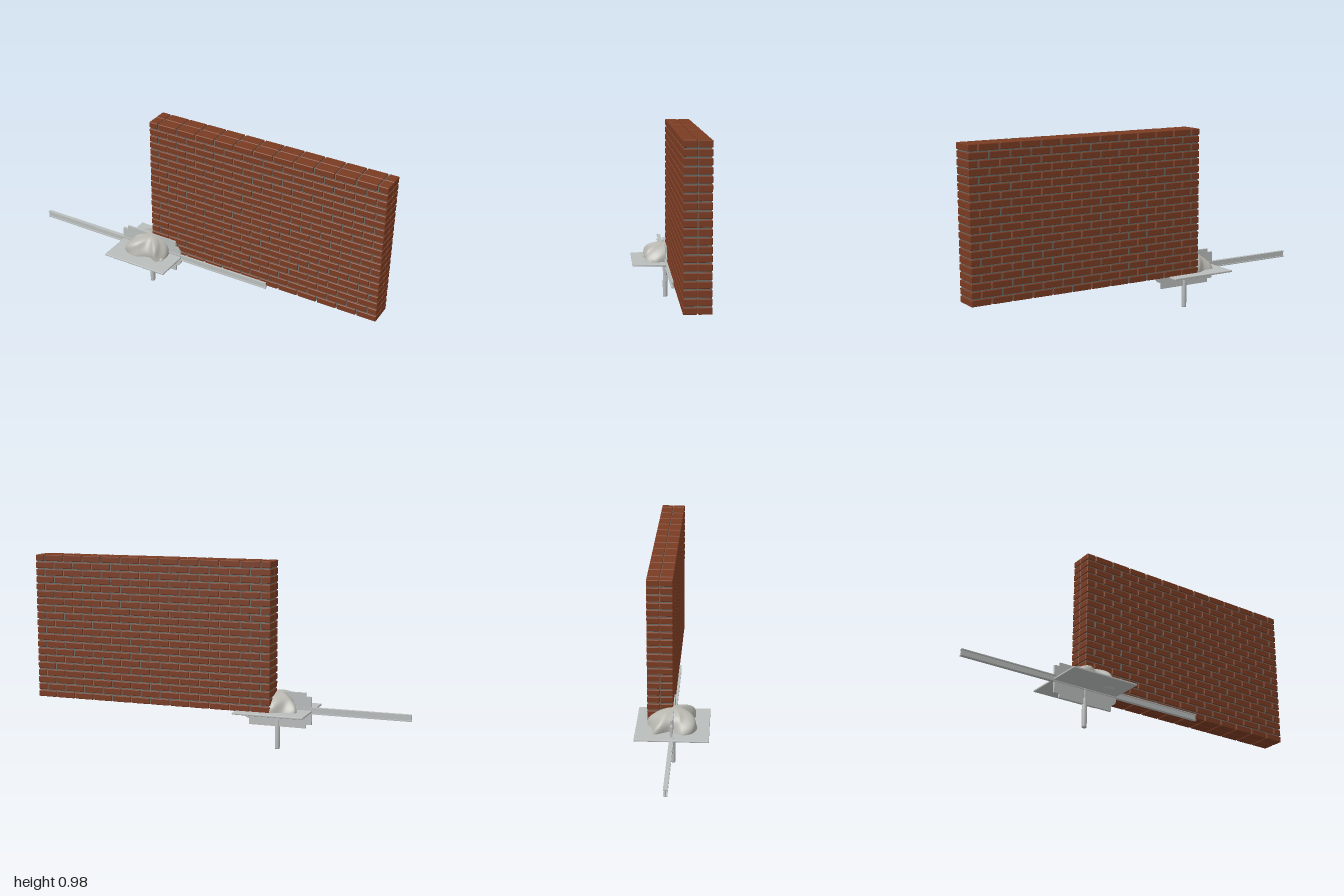
import * as THREE from 'three';
import { mergeGeometries } from 'three/addons/utils/BufferGeometryUtils.js';
import { RoundedBoxGeometry } from 'three/addons/geometries/RoundedBoxGeometry.js';

const mat = (name, color, side = THREE.FrontSide) => {
  const m = new THREE.MeshStandardMaterial({ color, side });
  m.name = name;
  return m;
};

export function createModel() {
  const group = new THREE.Group();
  const brick = mat('brick red', 0x7a3b22);
  const joint = mat('joint grey', 0x6b6b66);
  const steel = mat('steel grey', 0xb9bdbc);
  const wet = mat('wet mortar', 0xb8b7b0);

  const add = (name, geometry, material, x = 0, y = 0, z = 0) => {
    const mesh = new THREE.Mesh(geometry, material);
    mesh.name = name;
    mesh.position.set(x, y, z);
    group.add(mesh);
    return mesh;
  };
  const box = (name, material, x0, x1, y0, y1, z0, z1) =>
    add(name, new THREE.BoxGeometry(x1 - x0, y1 - y0, z1 - z0), material,
      (x0 + x1) / 2, (y0 + y1) / 2, (z0 + z1) / 2);

  // Brick wall: running bond, two bricks deep
  const X0 = -0.307, X1 = 1, Y0 = 0.212, Y1 = 0.977, Z0 = -0.13;
  const ROWS = 20, GAP = 0.006;
  const pitchX = (X1 - X0 + GAP) / 12;
  const pitchY = (Y1 - Y0 + GAP) / ROWS;
  const depth = (-Z0 - 0.003) / 2;
  const makeBrick = (length) => new RoundedBoxGeometry(length, pitchY - GAP, depth, 1, 0.004);
  const whole = makeBrick(pitchX - GAP);
  const half = makeBrick(pitchX / 2 - GAP);
  const bricks = [];
  for (let row = 0; row < ROWS; row++) {
    const y = Y0 + row * pitchY + (pitchY - GAP) / 2;
    const offset = row % 2 === 1;
    for (const z of [-depth / 2, Z0 + depth / 2]) {
      const lay = (shape, start, length) =>
        bricks.push(shape.clone().translate(X0 + start + (length - GAP) / 2, y, z));
      if (offset) {
        lay(half, 0, pitchX / 2);
        lay(half, 11.5 * pitchX, pitchX / 2);
      }
      for (let i = 0; i < (offset ? 11 : 12); i++) {
        lay(whole, (i + (offset ? 0.5 : 0)) * pitchX, pitchX);
      }
    }
  }
  add('wallBricks', mergeGeometries(bricks), brick);
  const inset = 0.006;
  box('wallJoints', joint, X0 + inset, X1 - inset, Y0 + inset, Y1 - inset, Z0 + inset, -inset);

  // Long rail with an I-shaped section
  box('railTopFlange', steel, -1, 0.39, 0.226, 0.231, -0.009, 0.011);
  box('railBottomFlange', steel, -1, 0.39, 0.197, 0.202, -0.009, 0.011);
  box('railWeb', steel, -1, 0.39, 0.202, 0.226, -0.002, 0.004);

  // Square mortar board
  add('board', new RoundedBoxGeometry(0.37, 0.01, 0.37, 1, 0.003), steel, -0.308, 0.21, 0);

  // Upright plate with a square tab on one end and a rounded tab on the other
  const plate = new THREE.Shape();
  plate.moveTo(-0.46, 0.12);
  plate.lineTo(-0.155, 0.12);
  plate.lineTo(-0.155, 0.152);
  plate.quadraticCurveTo(-0.124, 0.158, -0.124, 0.19);
  plate.lineTo(-0.124, 0.235);
  plate.quadraticCurveTo(-0.126, 0.265, -0.155, 0.272);
  plate.lineTo(-0.155, 0.305);
  plate.lineTo(-0.46, 0.305);
  plate.lineTo(-0.46, 0.285);
  plate.lineTo(-0.49, 0.285);
  plate.lineTo(-0.49, 0.14);
  plate.lineTo(-0.46, 0.14);
  add('uprightPlate', new THREE.ExtrudeGeometry(plate, { depth: 0.012, bevelEnabled: false }),
    steel, 0, 0, -0.006);

  // Handle below the board
  const handle = [[0, 0], [0.011, 0], [0.0125, 0.006], [0.0135, 0.07], [0.0125, 0.15],
    [0.008, 0.157], [0.008, 0.206], [0, 0.206]].map(([r, y]) => new THREE.Vector2(r, y));
  add('handle', new THREE.LatheGeometry(handle, 20), steel, -0.309, 0, 0);

  // Lump of mortar: rings shrinking from a wavy outline to the peak
  const outline = new THREE.CatmullRomCurve3([
    [-0.20, 0], [-0.19, 0.06], [-0.215, 0.112], [-0.27, 0.09], [-0.35, 0.125], [-0.41, 0.1],
    [-0.435, 0.05], [-0.4, -0.01], [-0.43, -0.09], [-0.37, -0.105], [-0.305, -0.13], [-0.24, -0.09],
  ].map(([x, z]) => new THREE.Vector3(x, 0, z)), true);
  const SEG = 60, RINGS = 16;
  const pos = [], index = [];
  for (let j = 0; j <= RINGS; j++) {
    const a = (j / RINGS) * Math.PI / 2;
    const r = Math.pow(Math.max(Math.cos(a), 0), 0.9);
    for (let i = 0; i < SEG; i++) {
      const p = outline.getPoint(i / SEG);
      const swirl = 1 + 0.09 * Math.sin(2 * a) * Math.sin(5 * i / SEG * Math.PI * 2 + 3 * a);
      const x = -0.305 + (p.x + 0.305) * r * swirl;
      const z = p.z * r * swirl + 0.012 * Math.sin(a);
      pos.push(x, 0.207 + 0.1 * Math.sin(a), z);
    }
  }
  for (let j = 0; j < RINGS; j++) {
    for (let i = 0; i < SEG; i++) {
      const k = (i + 1) % SEG;
      const a = j * SEG + i, b = j * SEG + k, c = a + SEG, d = b + SEG;
      index.push(a, c, b, b, c, d);
    }
  }
  const lump = new THREE.BufferGeometry();
  lump.setAttribute('position', new THREE.Float32BufferAttribute(pos, 3));
  lump.setIndex(index);
  lump.computeVertexNormals();
  add('mortarLump', lump, wet);

  // Small blob at the foot of the lump
  const blob = add('mortarBlob', new THREE.SphereGeometry(0.018, 16, 12), wet, -0.215, 0.212, 0.08);
  blob.scale.set(1.6, 1, 1);

  return group;
}
